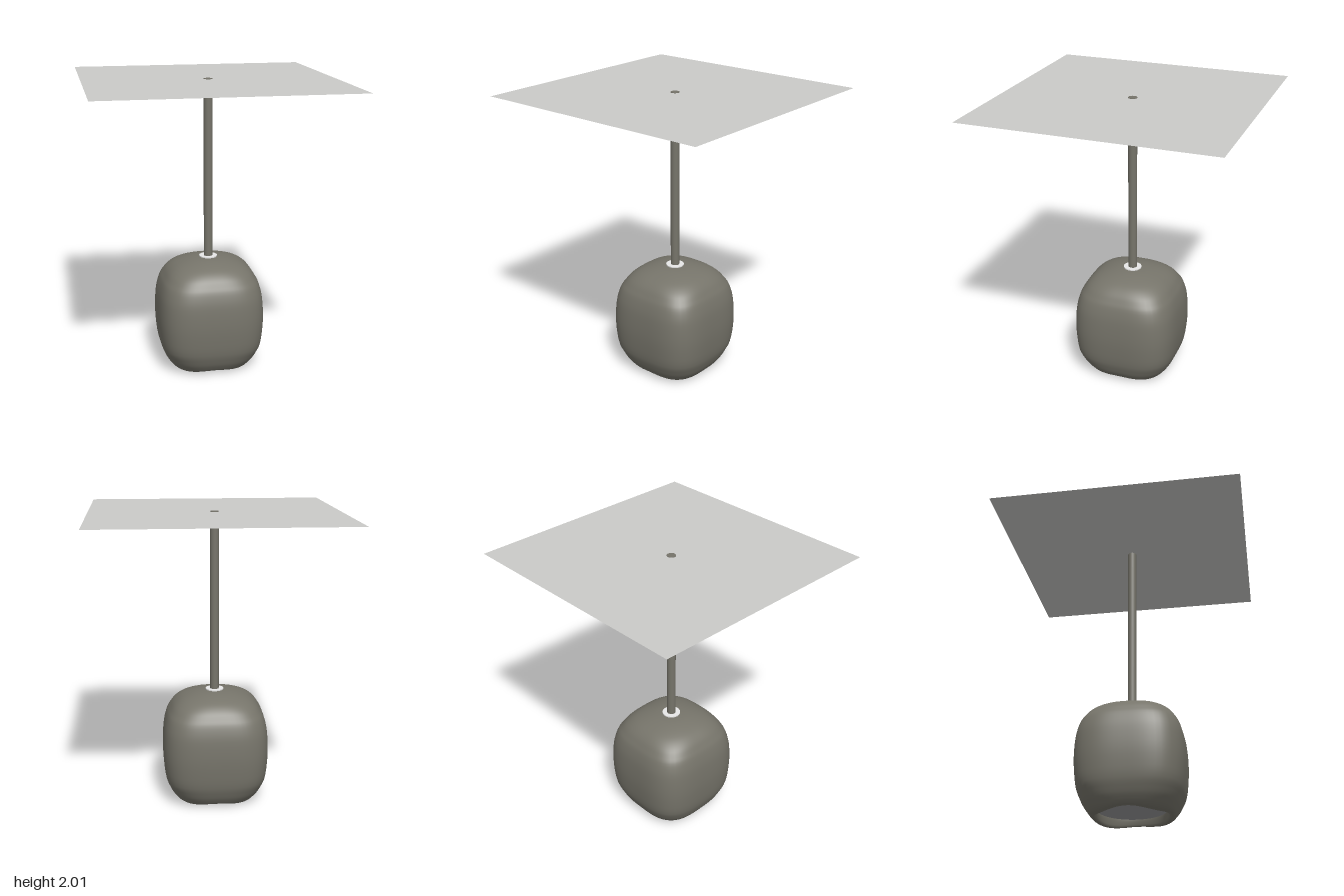
import * as THREE from 'three';

const mat = (name, color, side = THREE.FrontSide) => {
  const m = new THREE.MeshStandardMaterial({ color, side });
  m.name = name;
  return m;
};

// Soft-cube shade: rows of [half width, y, squareness exponent, corner droop]
function shadeGeometry() {
  const rows = [
    [0.23, 0.075, 2, 0], [0.232, 0.045, 2, 0.3], [0.24, 0.012, 2, 0.9],
    [0.255, 0.006, 2.2, 1], [0.272, 0.013, 2.45, 0.8], [0.293, 0.04, 2.8, 0.4], [0.325, 0.1, 3.2, 0],
    [0.354, 0.2, 3.5, 0], [0.365, 0.35, 3.5, 0], [0.357, 0.5, 3.5, 0],
    [0.337, 0.59, 3.4, 0], [0.31, 0.645, 3.2, 0], [0.275, 0.692, 2.9, 0],
    [0.22, 0.73, 2.6, 0], [0.12, 0.761, 2.2, 0], [0.04, 0.77, 2, 0],
  ];
  const path = new THREE.CatmullRomCurve3(rows.map(r => new THREE.Vector3(r[0], r[1], r[2])));
  const droop = new THREE.CatmullRomCurve3(rows.map(r => new THREE.Vector3(r[3], 0, 0)));
  const steps = 60, sides = 72, pos = [], idx = [];
  for (let i = 0; i <= steps; i++) {
    const p = path.getPoint(i / steps), w = droop.getPoint(i / steps).x;
    for (let j = 0; j < sides; j++) {
      const t = (j / sides) * Math.PI * 2, c = Math.cos(t), s = Math.sin(t);
      const r = p.x / Math.pow(Math.abs(c) ** p.z + Math.abs(s) ** p.z, 1 / p.z);
      pos.push(r * c, p.y + 0.009 * w * Math.cos(4 * t), r * s);
      if (i < steps) {
        const k = (j + 1) % sides, a = i * sides + j, b = i * sides + k;
        idx.push(a, a + sides, b, b, a + sides, b + sides);
      }
    }
  }
  const g = new THREE.BufferGeometry();
  g.setAttribute('position', new THREE.Float32BufferAttribute(pos, 3));
  g.setIndex(idx);
  g.computeVertexNormals();
  return g;
}

export function createModel() {
  const group = new THREE.Group();
  const taupe = mat('taupe', 0x76746a);
  const ceilingGrey = mat('ceilingGrey', 0xcacac8, THREE.DoubleSide);
  const diffuserGrey = mat('diffuserGrey', 0x98989a, THREE.DoubleSide);
  const white = mat('white', 0xf0f0f0);

  const add = (name, geometry, material, y) => {
    const m = new THREE.Mesh(geometry, material);
    m.name = name;
    m.position.y = y;
    group.add(m);
    return m;
  };

  add('shade', shadeGeometry(), taupe, 0);
  // Rod runs from inside the shade through the ceiling panel
  add('rod', new THREE.CylinderGeometry(0.03, 0.03, 1.26, 20), taupe, 1.37);
  add('collar', new THREE.CylinderGeometry(0.062, 0.062, 0.012, 32), white, 0.769);
  // Recessed light disc facing down, with a slightly raised centre
  add('diffuser', new THREE.CircleGeometry(0.232, 48).rotateX(Math.PI / 2), diffuserGrey, 0.055);
  add('diffuserCentre', new THREE.CylinderGeometry(0.19, 0.19, 0.004, 48), diffuserGrey, 0.053);
  add('ceilingPanel', new THREE.PlaneGeometry(1.67, 1.67).rotateX(-Math.PI / 2), ceilingGrey, 1.997);
  return group;
}
